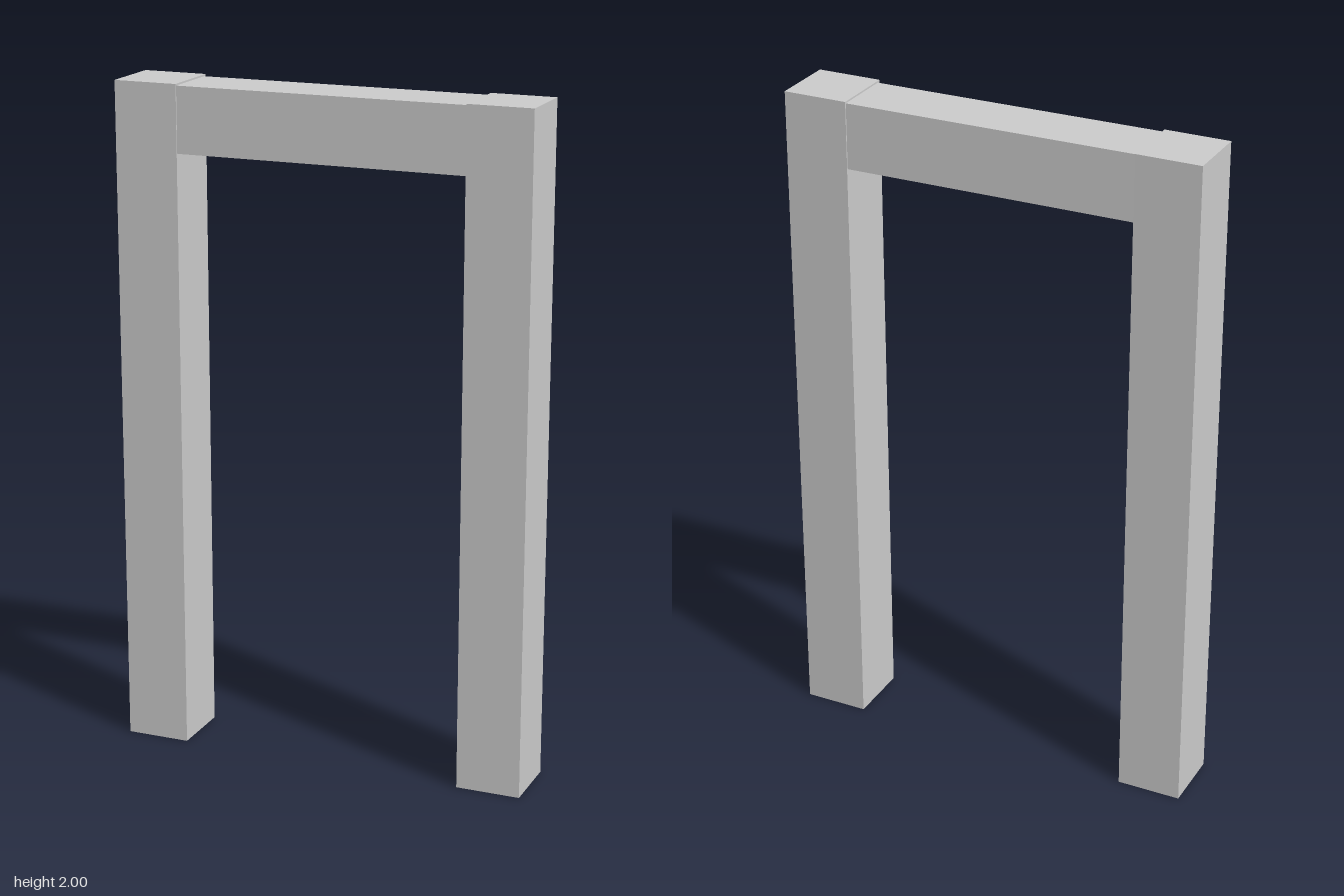
import * as THREE from 'three';

export function createModel() {
  const group = new THREE.Group();
  const material = new THREE.MeshStandardMaterial({ color: 0xcccccc, flatShading: true });

  function addBeam(name, size, position) {
    const mesh = new THREE.Mesh(new THREE.BoxGeometry(...size), material);
    mesh.name = name;
    mesh.position.set(...position);
    group.add(mesh);
    return mesh;
  }

  // Two square upright posts
  for (const [name, side] of [['leftPost', 1], ['rightPost', -1]]) {
    addBeam(name, [0.192, 2, 0.197], [side * 0.53, 1, 0]);
  }

  // Lintel between the posts, slightly thinner and a touch askew
  const lintel = addBeam('lintel', [0.872, 0.194, 0.183], [0, 1.898, 0]);
  lintel.rotation.y = 0.0075;

  return group;
}
